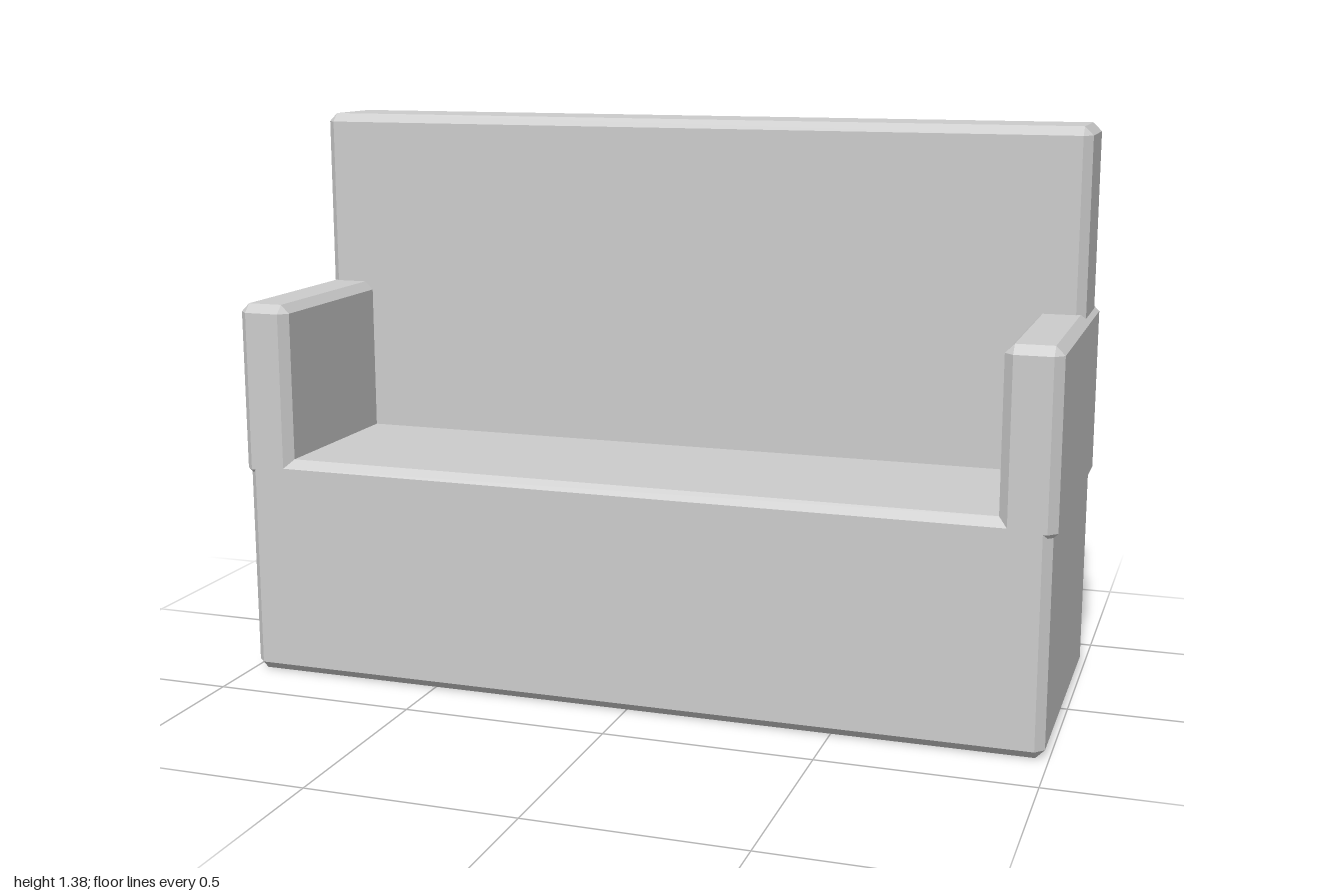
import * as THREE from 'three';
import { ConvexGeometry } from 'three/addons/geometries/ConvexGeometry.js';

const CHAMFER = 0.021;

// Box with flat chamfers on every edge, given by its outer limits
function chamferedBox(name, material, [x0, x1], [y0, y1], [z0, z1]) {
  const half = new THREE.Vector3(x1 - x0, y1 - y0, z1 - z0).multiplyScalar(0.5);
  const points = [];
  for (const sx of [-1, 1]) for (const sy of [-1, 1]) for (const sz of [-1, 1]) {
    // each corner becomes three points, one on each adjoining face
    for (const axis of ['x', 'y', 'z']) {
      const p = half.clone().subScalar(CHAMFER);
      p[axis] = half[axis];
      points.push(p.multiply(new THREE.Vector3(sx, sy, sz)));
    }
  }
  const mesh = new THREE.Mesh(new ConvexGeometry(points), material);
  mesh.name = name;
  mesh.position.set((x0 + x1) / 2, (y0 + y1) / 2, (z0 + z1) / 2);
  return mesh;
}

export function createModel() {
  const group = new THREE.Group();
  group.name = 'sofa';
  const grey = new THREE.MeshStandardMaterial({ color: 0xcccccc });
  grey.name = 'light grey';

  // Seat block and the backrest standing in it
  group.add(chamferedBox('seat', grey, [-0.99, 0.99], [0, 0.55], [-0.355, 0.355]));
  group.add(chamferedBox('backrest', grey, [-0.99, 0.99], [0.5, 1.375], [-0.33, -0.11]));

  // Armrests, slightly wider than the seat
  group.add(chamferedBox('leftArmrest', grey, [0.87, 1], [0.5, 0.935], [-0.355, 0.355]));
  group.add(chamferedBox('rightArmrest', grey, [-1, -0.87], [0.5, 0.935], [-0.355, 0.355]));

  return group;
}
